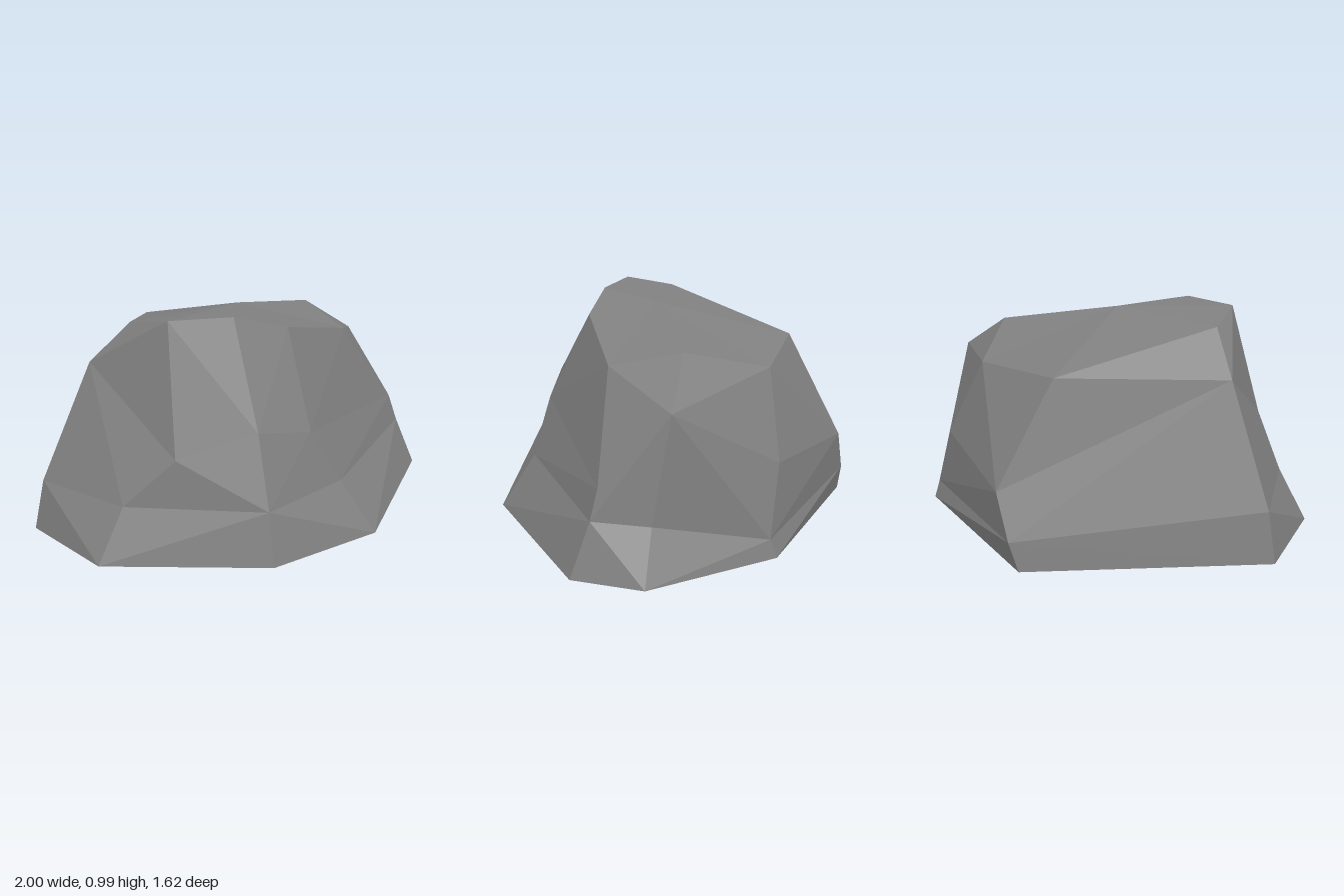
import * as THREE from 'three';

// Four rings of the boulder, bottom to top, each running anticlockwise seen from above
const RINGS = [
  [[-1, 0, 0.08], [-0.82, 0, 0.52], [-0.14, 0, 0.81], [0.41, 0, 0.7],
    [1, 0, 0.08], [0.99, 0, -0.24], [0.54, 0, -0.67], [-0.33, 0, -0.79]],
  [[-0.95, 0.23, 0.08], [-0.69, 0.23, 0.47], [-0.14, 0.23, 0.75], [0.29, 0.23, 0.58],
    [0.92, 0.23, 0.02], [0.85, 0.21, -0.22], [0.54, 0.08, -0.64], [-0.29, 0.13, -0.81]],
  [[-0.71, 0.76, 0.08], [-0.48, 0.44, 0.55], [-0.14, 0.54, 0.63], [0.14, 0.48, 0.56],
    [0.88, 0.36, 0], [0.78, 0.67, -0.28], [0.41, 0.38, -0.64], [-0.2, 0.33, -0.8]],
  [[-0.54, 0.945, 0.16], [-0.44, 0.99, 0.37], [-0.15, 0.98, 0.38], [0.12, 0.9, 0.35],
    [0.55, 0.78, 0.08], [0.5, 0.85, -0.24], [0.24, 0.75, -0.55], [-0.26, 0.79, -0.53]],
].map((ring) => ring.map((p) => new THREE.Vector3(...p)));

function facetedMesh(name, triangles, material) {
  const geometry = new THREE.BufferGeometry().setFromPoints(triangles.flat());
  geometry.computeVertexNormals();
  const mesh = new THREE.Mesh(geometry, material);
  mesh.name = name;
  return mesh;
}

// Split a quad along whichever diagonal bulges outward
function splitQuad(a, b, c, d) {
  const normal = b.clone().sub(a).cross(c.clone().sub(a));
  const dIsBehind = normal.dot(d.clone().sub(a)) <= 0;
  return dIsBehind ? [[a, b, c], [a, c, d]] : [[a, b, d], [b, c, d]];
}

export function createModel() {
  const group = new THREE.Group();
  group.name = 'boulder';
  const stone = new THREE.MeshStandardMaterial({ color: 0x808080 });
  stone.name = 'grey stone';
  const count = RINGS[0].length;

  // Faceted sides
  const sides = [];
  for (let r = 0; r < RINGS.length - 1; r++) {
    for (let i = 0; i < count; i++) {
      const j = (i + 1) % count;
      sides.push(...splitQuad(RINGS[r][i], RINGS[r][j], RINGS[r + 1][j], RINGS[r + 1][i]));
    }
  }
  group.add(facetedMesh('boulderSides', sides, stone));

  // Sloping crown around a low peak, and the flat underside
  const peak = new THREE.Vector3(0, 0.955, 0.06);
  const centre = new THREE.Vector3(0, 0, 0);
  const crown = [];
  const base = [];
  for (let i = 0; i < count; i++) {
    const j = (i + 1) % count;
    crown.push([RINGS[3][i], RINGS[3][j], peak]);
    base.push([RINGS[0][j], RINGS[0][i], centre]);
  }
  group.add(facetedMesh('boulderCrown', crown, stone));
  group.add(facetedMesh('boulderUnderside', base, stone));
  return group;
}
